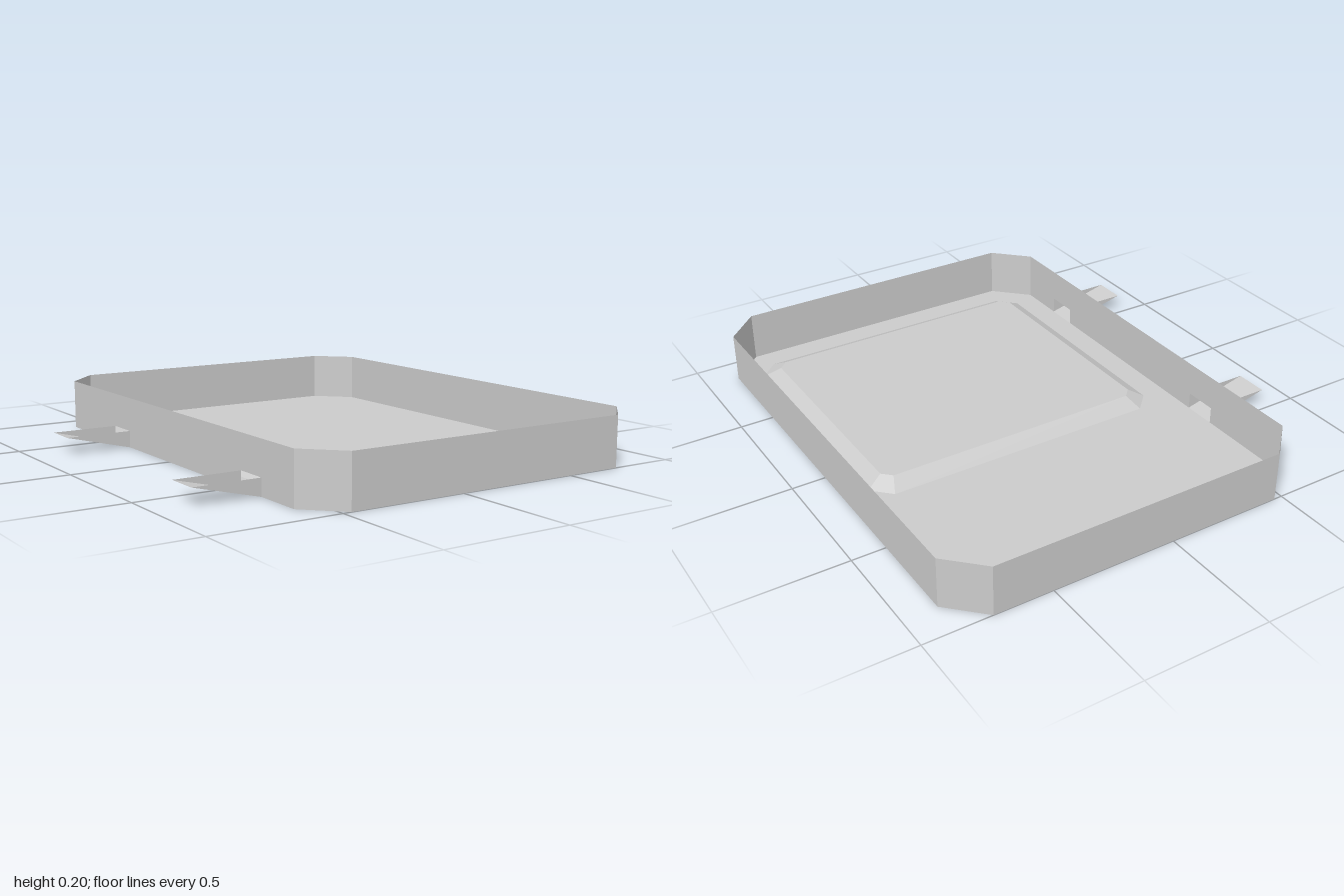
import * as THREE from 'three';

const U = 1 / 15; // design unit

// Rectangle with chamfered corners, as (x, z) points
function octagon(x0, x1, z0, z1, c) {
  return [
    [x0 + c, z0], [x1 - c, z0], [x1, z0 + c], [x1, z1 - c],
    [x1 - c, z1], [x0 + c, z1], [x0, z1 - c], [x0, z0 + c],
  ].map(([x, z]) => new THREE.Vector2(x, z));
}

// Flat sheet lying at height y, with optional hole
function sheet(outline, y, hole) {
  const shape = new THREE.Shape(outline);
  if (hole) shape.holes.push(new THREE.Path(hole));
  return new THREE.ShapeGeometry(shape).rotateX(Math.PI / 2).translate(0, y, 0);
}

function fromTriangles(positions) {
  const g = new THREE.BufferGeometry();
  g.setAttribute('position', new THREE.Float32BufferAttribute(positions, 3));
  g.computeVertexNormals();
  return g;
}

// Band of quads between two loops, leaving out one edge if asked
function band(low, y0, high, y1, skip = -1) {
  const pos = [];
  low.forEach((p, i) => {
    if (i === skip) return;
    const j = (i + 1) % low.length;
    const a = [p.x, y0, p.y], b = [low[j].x, y0, low[j].y];
    const c = [high[j].x, y1, high[j].y], d = [high[i].x, y1, high[i].y];
    pos.push(...a, ...d, ...b, ...b, ...d, ...c);
  });
  return fromTriangles(pos);
}

export function createModel() {
  const group = new THREE.Group();
  const material = new THREE.MeshStandardMaterial({
    color: 0xcccccc, flatShading: true, side: THREE.DoubleSide,
  });
  const add = (name, geometry) => {
    const mesh = new THREE.Mesh(geometry, material);
    mesh.name = name;
    group.add(mesh);
    return mesh;
  };

  const height = 3 * U, left = -9 * U, right = 13 * U;
  const rim = octagon(left, right, -1, 1, 2 * U);
  const panelBase = octagon(-7.5 * U, 11.5 * U, -3.5 * U, 13.5 * U, 1.1 * U);
  const panelTop = octagon(-6.6 * U, 10.5 * U, -2.5 * U, 12.5 * U, 0.55 * U);
  const panelHeight = 0.5 * U;
  const spoutCentres = [-6 * U, 9 * U];
  const spoutHalf = U, spoutHeight = U, spoutTip = -13 * U;

  // Tray floor with a raised, bevelled panel
  add('floor', sheet(rim, 0, panelBase));
  add('panelBevel', band(panelBase, 0, panelTop, panelHeight));
  add('panelTop', sheet(panelTop, panelHeight));

  // Thin walls; the spout side is cut separately
  add('walls', band(rim, 0, rim, height, 6));

  // Spout wall with a notch at floor level for each spout
  const wall = new THREE.Shape();
  wall.moveTo(-13 * U, 0);
  for (const z of spoutCentres) {
    wall.lineTo(z - spoutHalf, 0);
    wall.lineTo(z - spoutHalf, spoutHeight);
    wall.lineTo(z + spoutHalf, spoutHeight);
    wall.lineTo(z + spoutHalf, 0);
  }
  wall.lineTo(13 * U, 0);
  wall.lineTo(13 * U, height);
  wall.lineTo(-13 * U, height);
  add('spoutWall', new THREE.ShapeGeometry(wall).rotateY(-Math.PI / 2).translate(left, 0, 0));

  // Open spouts: a ramp rising outwards between two triangular cheeks
  const w = spoutHalf, h = spoutHeight;
  const spout = fromTriangles([
    left, 0, -w, left, 0, w, spoutTip, h, w,
    left, 0, -w, spoutTip, h, w, spoutTip, h, -w,
    left, 0, w, left, h, w, spoutTip, h, w,
    left, 0, -w, spoutTip, h, -w, left, h, -w,
  ]);
  spoutCentres.forEach((z, i) => {
    add(i ? 'frontSpout' : 'backSpout', spout).position.z = z;
  });

  return group;
}
